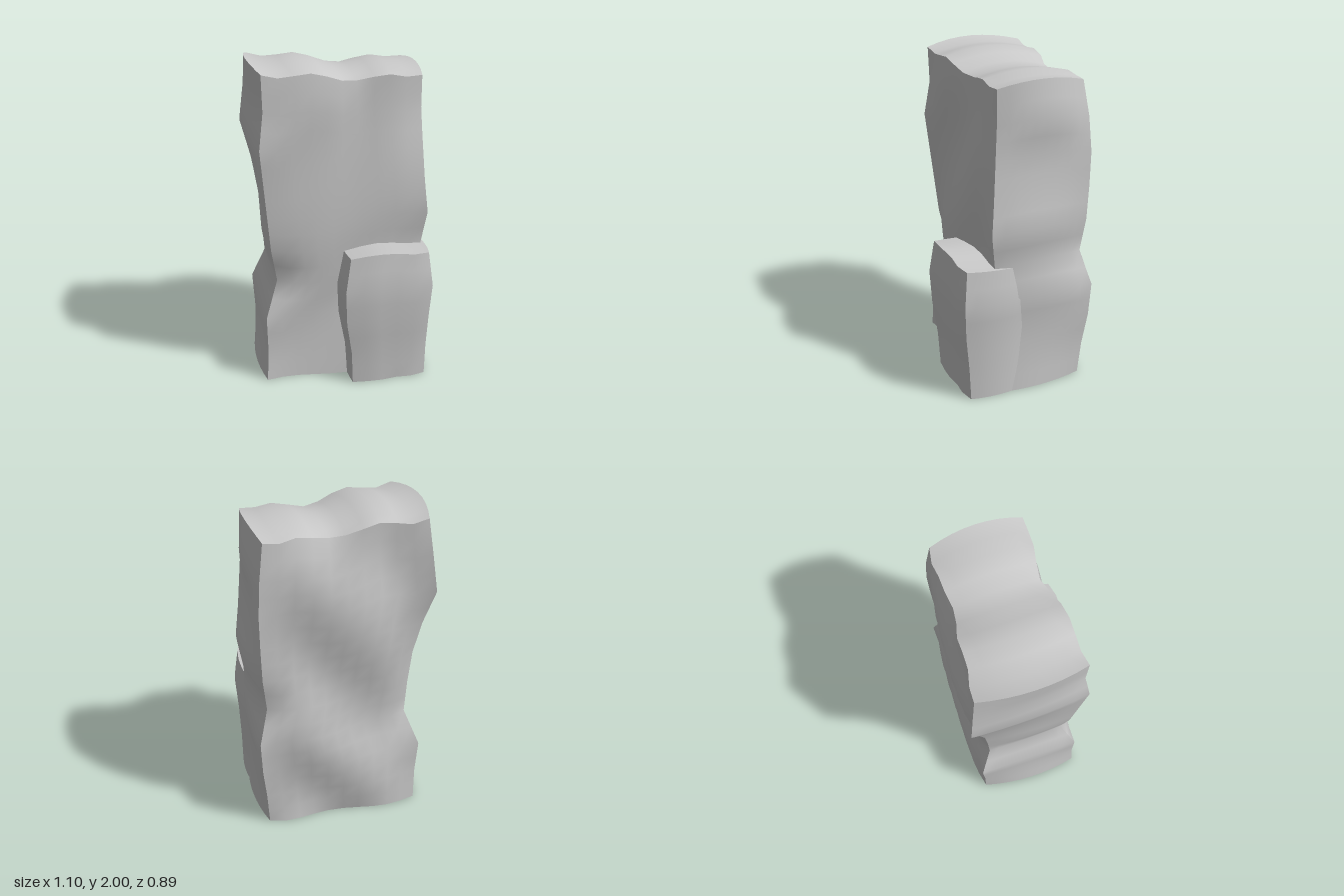
import * as THREE from 'three';

const { lerp } = THREE.MathUtils;

// Piecewise linear lookup in an evenly spaced table, t from 0 to 1
function at(table, t) {
  const f = Math.min(Math.max(t, 0), 1) * (table.length - 1);
  const i = Math.min(Math.floor(f), table.length - 2);
  return lerp(table[i], table[i + 1], f - i);
}

// Box whose six sides follow uneven limits; each side is smooth, its edges stay sharp.
// u runs left to right in x, v bottom to top, w back to front.
function roughBlock(name, material, segments, s) {
  const geo = new THREE.BoxGeometry(1, 1, 1, ...segments);
  const p = geo.attributes.position;
  for (let i = 0; i < p.count; i++) {
    const u = p.getX(i) + 0.5, v = p.getY(i) + 0.5, w = p.getZ(i) + 0.5;
    p.setXYZ(i,
      lerp(s.minX(v, w), s.maxX(v, w), u),
      v * s.top(u, w),
      lerp(s.back(u, v), s.front(u, v), w));
  }
  geo.computeVertexNormals();
  const mesh = new THREE.Mesh(geo, material);
  mesh.name = name;
  return mesh;
}

const bulge = (t) => 1 - (2 * t - 1) ** 2;
const plateau = (t) => 1 - Math.abs(2 * t - 1) ** 3;

// Diagonal ridges climbing towards +x, one of them through height y at x = 0
const ridge = (u, v, y) => Math.cos(2 * Math.PI * (v * 1.95 - y - 1.1 * (u - 0.5)) / 1.05);

export function createModel() {
  const stone = new THREE.MeshStandardMaterial({ color: 0xcacaca });
  stone.name = 'pale grey stone';
  const group = new THREE.Group();
  group.name = 'rock';

  // Tall slab: distance of each upright edge from the middle, bottom to top;
  // the corners move in and out along their diagonals
  const minFront = [0.5, 0.49, 0.495, 0.412, 0.45, 0.47, 0.49, 0.51, 0.48, 0.485];
  const minBack = [0.488, 0.488, 0.5, 0.42, 0.43, 0.447, 0.485, 0.54, 0.515, 0.488];
  const maxFront = [0.49, 0.485, 0.485, 0.5, 0.49, 0.52, 0.5, 0.485, 0.47, 0.47];
  const maxBack = [0.475, 0.49, 0.515, 0.525, 0.465, 0.49, 0.497, 0.5, 0.485, 0.455];
  // Swelling of the two narrow sides
  const minSwell = [0.04, 0.015, 0, 0.01, 0.025, 0.015, 0.015, 0.025, 0.03, 0.05];
  const maxSwell = [0.037, 0.022, 0.015, 0.025, 0.032, 0.04, 0.016, 0.008, 0.047, 0.03];
  // Shape of the top from left to right, and its notches
  const crown = [2, 1.975, 1.984, 1.994, 1.97, 1.935, 1.926, 1.944, 1.958, 1.94, 1.945];
  const frontNotch = [0, 0.02, 0.045, 0.075, 0.02, 0];
  const backNotch = [0, 0.04, 0.01, 0.055, 0.06, 0];
  group.add(roughBlock('tallSlab', stone, [10, 18, 8], {
    minX: (v, w) => -lerp(at(minBack, v), at(minFront, v), w) - at(minSwell, v) * bulge(w),
    maxX: (v, w) => lerp(at(maxBack, v), at(maxFront, v), w) + at(maxSwell, v) * bulge(w),
    top: (u, w) => at(crown, u) - 0.038 * (1 - bulge(w)),
    back: (u, v) => {
      const edge = lerp(0.105 - at(minBack, v), 0.115 - at(maxBack, v), u);
      return lerp(edge, -0.398 - 0.033 * ridge(u, v, 0.42), plateau(u)) + at(backNotch, u) * v ** 8;
    },
    front: (u, v) => {
      const edge = lerp(at(minFront, v) - 0.24, at(maxFront, v) - 0.265, u);
      return lerp(edge, 0.25 + 0.024 * ridge(u, v, 1.05), plateau(u)) - at(frontNotch, u) * v ** 8;
    },
  }));

  // Low block set into the front of the slab
  const lowMin = [0.02, 0.01, -0.025, -0.035, 0];
  const lowMax = [0.493, 0.494, 0.5, 0.515, 0.49];
  const lowFront = [0.4, 0.41, 0.43, 0.44, 0.416];
  const lowWave = [0, 0.01, 0.012, 0, 0.005, -0.016];
  const lowTop = [0.862, 0.877, 0.882, 0.872, 0.86, 0.855];
  group.add(roughBlock('lowBlock', stone, [5, 8, 6], {
    minX: (v, w) => at(lowMin, v) - 0.01 * bulge(w),
    maxX: (v, w) => at(lowMax, v) + 0.022 * bulge(w),
    top: (u, w) => at(lowTop, u) - 0.02 * (1 - w),
    back: () => 0.03,
    front: (u, v) => at(lowFront, v) + at(lowWave, u),
  }));

  return group;
}
